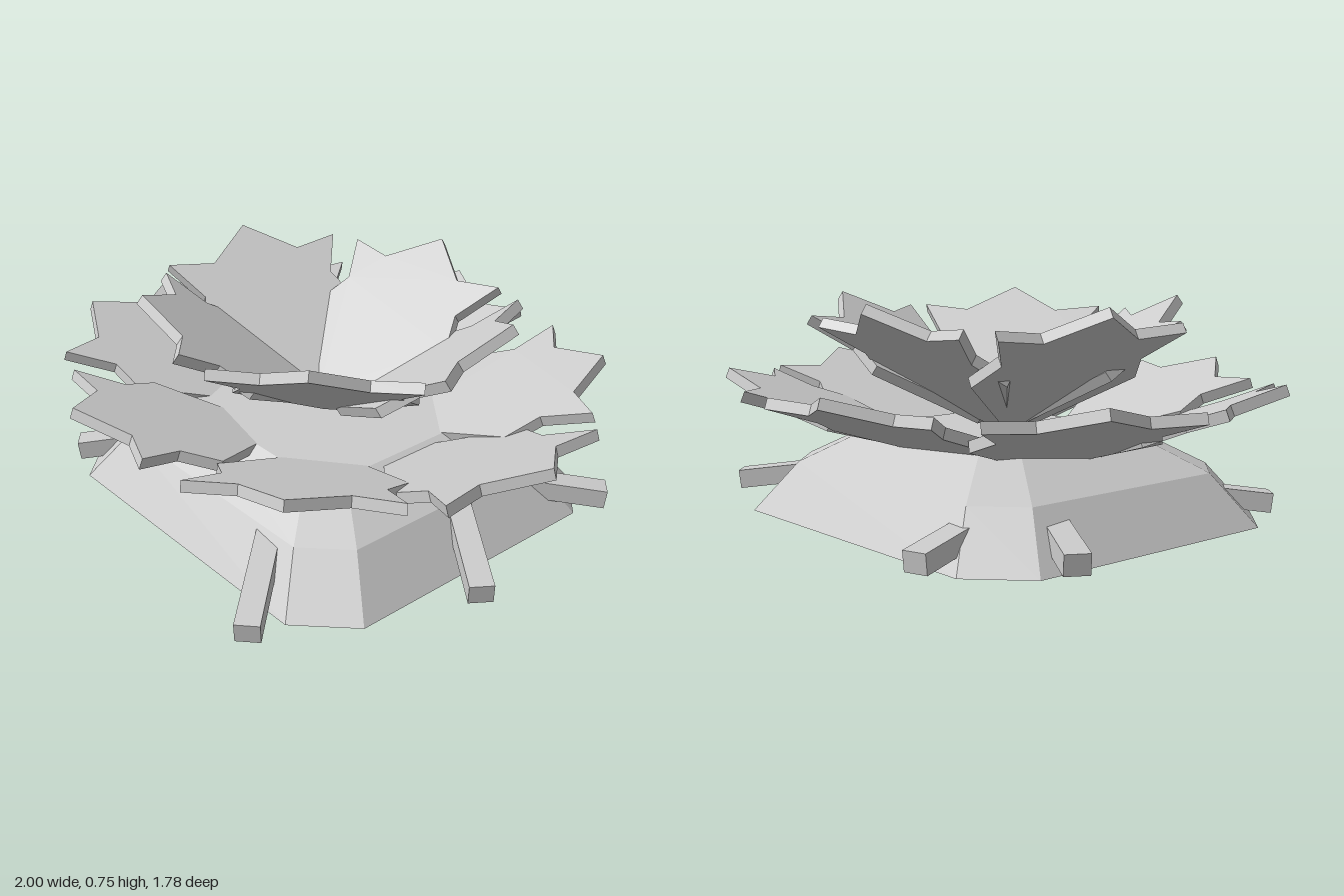
import * as THREE from 'three';

const CX = -0.025; // shared centre of base and leaf rings
const rad = THREE.MathUtils.degToRad;

// Chamfered rectangular mound built from stacked octagon rings
function moundGeometry() {
  const rings = [[0, 1], [0.175, 0.815], [0.29, 0.54]];
  const hx = 0.74, hz = 0.657, c = 0.17;
  const outline = [
    [hx, hz - c], [hx - c, hz], [c - hx, hz], [-hx, hz - c],
    [-hx, c - hz], [c - hx, -hz], [hx - c, -hz], [hx, c - hz],
  ];
  const pos = [];
  const point = (r, i) => {
    const [y, s] = rings[r], [x, z] = outline[i % 8];
    return [x * s, y, z * s];
  };
  const tri = (a, b, d) => pos.push(...a, ...b, ...d);
  const last = rings.length - 1;
  for (let i = 0; i < 8; i++) {
    for (let r = 0; r < last; r++) {
      tri(point(r, i), point(r + 1, i), point(r + 1, i + 1));
      tri(point(r, i), point(r + 1, i + 1), point(r, i + 1));
    }
    tri([0, rings[last][0], 0], point(last, i + 1), point(last, i));
    tri([0, 0, 0], point(0, i), point(0, i + 1));
  }
  const g = new THREE.BufferGeometry();
  g.setAttribute('position', new THREE.Float32BufferAttribute(pos, 3));
  g.computeVertexNormals();
  return g;
}

// Five-pointed leaf slab: tip at the origin, stem end towards -x, top face at y = 0
function leafGeometry() {
  const half = [[-0.142, 0.17], [-0.114, 0.336], [-0.275, 0.255], [-0.405, 0.305], [-0.73, 0.045]];
  const pts = [[0, 0], ...half, ...half.map(([x, y]) => [x, -y]).reverse()];
  const shape = new THREE.Shape(pts.map(([x, y]) => new THREE.Vector2(x, y)));
  const t = 0.037;
  const g = new THREE.ExtrudeGeometry(shape, { depth: t, bevelEnabled: false });
  g.translate(0, 0, -t);
  g.rotateX(-Math.PI / 2);
  return g;
}

export function createModel() {
  const model = new THREE.Group();
  const grey = new THREE.MeshStandardMaterial({ color: 0xcccccc });
  grey.name = 'light grey';

  // Place a part that lies along its own x axis, heading outwards at a yaw
  const place = (name, geometry, x, y, z, yaw, tilt) => {
    const mesh = new THREE.Mesh(geometry, grey);
    mesh.name = name;
    mesh.position.set(x, y, z);
    mesh.rotation.set(0, -rad(yaw), rad(tilt));
    model.add(mesh);
  };

  // Base
  place('base', moundGeometry(), CX - 0.005, 0, 0, 0, 0);

  // Two leaf rings on ellipses, the upper one steeper
  const leaf = leafGeometry();
  const ring = (name, count, start, rx, rz, y, tilt) => {
    for (let i = 0; i < count; i++) {
      const yaw = start + (i * 360) / count, a = rad(yaw);
      place(name, leaf, CX + rx * Math.cos(a), y, rz * Math.sin(a), yaw, tilt);
    }
  };
  ring('lowerLeaf', 7, 0, 1.012, 0.898, 0.502, 20.4);
  ring('upperLeaf', 5, -95.3, 0.67, 0.602, 0.752, 34.6);

  // Roots: outer end x, y, z and heading
  const root = new THREE.BoxGeometry(0.5, 0.066, 0.08);
  root.translate(-0.25, 0, 0);
  const roots = [
    [0.575, 0.075, 0.825, 47], [0.89, 0.075, 0.17, 35], [0.77, 0.072, -0.57, -45],
    [-0.57, 0.062, -0.78, -108], [-0.88, 0.062, -0.45, 210], [-0.71, 0.062, 0.62, 128],
  ];
  for (const [x, y, z, yaw] of roots) place('root', root, x, y, z, yaw, -7);

  return model;
}
